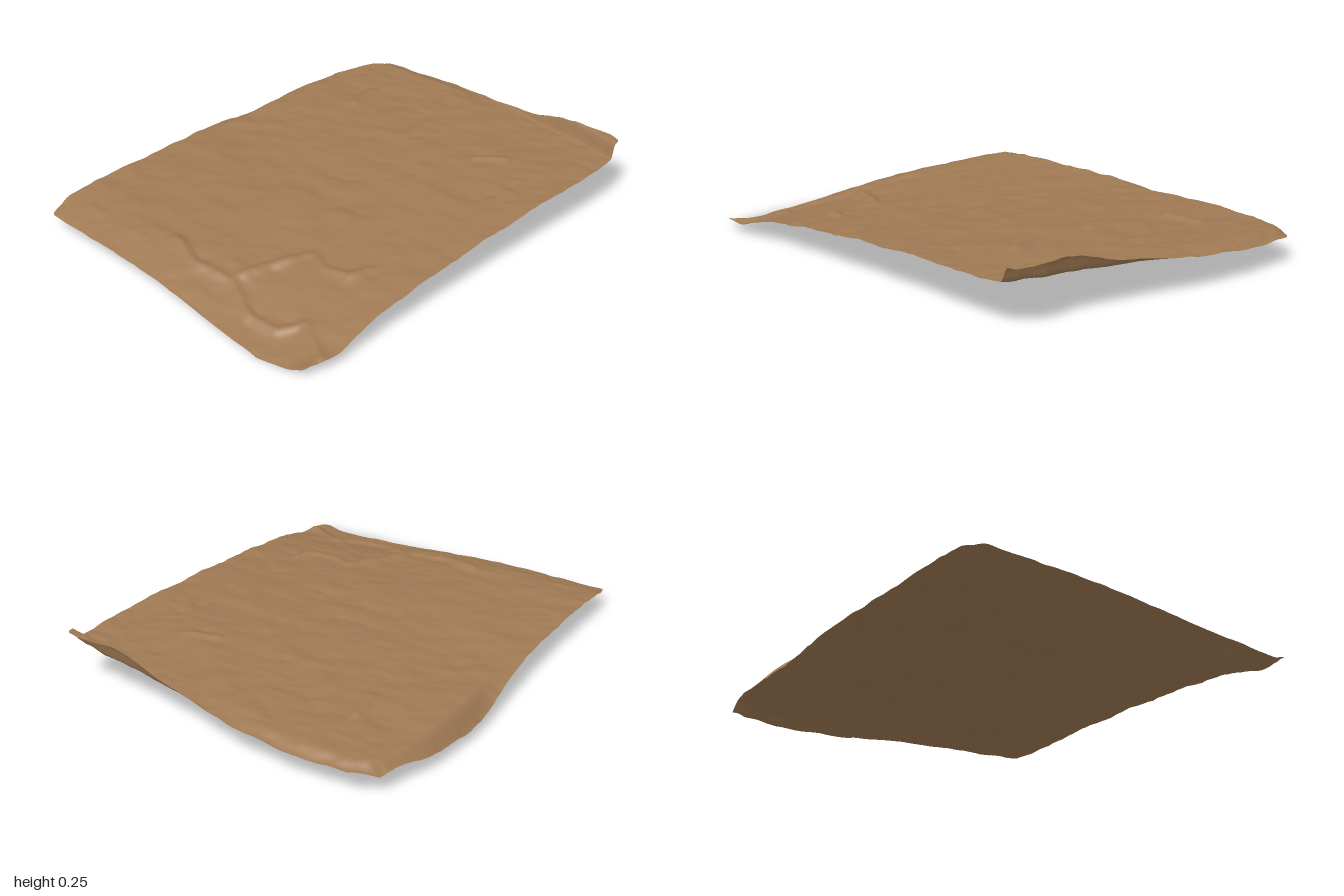
import * as THREE from 'three';

const { smoothstep, lerp, clamp } = THREE.MathUtils;

// Piecewise-linear lookup through [position, value] pairs
function along(points, t) {
  if (t <= points[0][0]) return points[0][1];
  for (let i = 1; i < points.length; i++) {
    const [a, p] = points[i - 1], [b, q] = points[i];
    if (t <= b) return lerp(p, q, (t - a) / (b - a));
  }
  return points[points.length - 1][1];
}

// Smooth repeatable value noise
function hash(i, j) {
  const s = Math.sin(i * 127.1 + j * 311.7) * 43758.5453;
  return s - Math.floor(s);
}
function noise(x, z) {
  const i = Math.floor(x), j = Math.floor(z);
  const u = smoothstep(x - i, 0, 1), v = smoothstep(z - j, 0, 1);
  return lerp(lerp(hash(i, j), hash(i + 1, j), u), lerp(hash(i, j + 1), hash(i + 1, j + 1), u), v) - 0.5;
}

// Outline of the sheet
const leftX = [[-1, -0.71], [-0.9, -0.745], [-0.8, -0.78], [-0.5, -0.8], [-0.3, -0.79], [0, -0.765], [0.2, -0.75], [0.5, -0.74], [0.93, -0.735], [1, -0.71]];
const rightX = [[-1, 0.765], [-0.93, 0.78], [-0.75, 0.79], [-0.4, 0.785], [0, 0.78], [0.6, 0.78], [0.87, 0.79], [0.95, 0.785], [1, 0.76]];
const backZ = [[-0.8, -0.84], [-0.71, -0.91], [-0.62, -0.98], [-0.35, -1], [-0.1, -0.985], [0.1, -0.95], [0.3, -0.92], [0.5, -0.9], [0.7, -0.91], [0.755, -0.895], [0.79, -0.85]];
const frontZ = [[-0.74, 0.93], [-0.7, 0.965], [0, 0.975], [0.55, 1], [0.75, 0.97], [0.79, 0.93]];

// Height along the left and right sides
const leftY = [[-1, 0.125], [-0.4, 0.125], [0, 0.113], [0.4, 0.12], [0.7, 0.115], [0.85, 0.1], [0.97, 0.068]];
const rightY = [[-0.85, 0.193], [-0.4, 0.183], [0, 0.162], [0.4, 0.128], [0.6, 0.1], [0.75, 0.07], [0.85, 0.035], [1, 0.006]];
const droop = [[-0.95, 0.02], [-0.75, 0.045], [-0.6, 0.07], [-0.45, 0.08], [-0.3, 0.075], [-0.18, 0.05], [0, 0.01], [0.15, 0]];
const lipHeight = [[0, 0], [0.1, 0.015], [0.3, 0.042], [0.5, 0.07], [0.8, 0.06]];
const lipCrease = [[0, -0.965], [0.1, -0.935], [0.4, -0.885], [0.6, -0.865], [0.79, -0.82]];

// Wrinkles as polylines in x, z
const wrinkles = [
  [[-0.15, 0.77], [0, 0.82], [0.2, 0.8], [0.38, 0.88], [0.52, 0.87], [0.58, 0.79], [0.76, 0.88]],
  [[0.2, 0.76], [0.26, 0.62], [0.32, 0.49], [0.42, 0.52], [0.54, 0.5], [0.56, 0.42]],
  [[-0.45, -0.66], [-0.42, -0.52]],
  [[0.34, -0.48], [0.44, -0.53]],
];
const dents = [[0, -0.46], [0.01, -0.06], [0.05, -0.02], [0.6, -0.38], [0.67, -0.3], [0.58, -0.28]];

function distanceTo(path, x, z) {
  let best = 9;
  for (let i = 1; i < path.length; i++) {
    const [ax, az] = path[i - 1], dx = path[i][0] - ax, dz = path[i][1] - az;
    const t = clamp(((x - ax) * dx + (z - az) * dz) / (dx * dx + dz * dz), 0, 1);
    best = Math.min(best, Math.hypot(x - ax - t * dx, z - az - t * dz));
  }
  return best;
}

function heightAt(x, z, left, back) {
  // Broad slope, with the front right corner sagging
  const w = lerp((x + 0.74) / 1.52, smoothstep(x, -0.25, 0.6), smoothstep(z, 0.4, 0.85));
  let y = lerp(along(leftY, z), along(rightY, z), w);
  y += 0.025 * smoothstep(x, 0.68, 0.79) * smoothstep(z, 0.8, 0.95);
  // Drooping left and back left edges
  y -= along(droop, z) * (1 - smoothstep(x - left, -0.02, 0.075));
  y -= 0.022 * (1 - smoothstep(z - back, 0, 0.07)) * (1 - smoothstep(x, -0.3, 0.1));
  // Lip turned up along the back right
  y += along(lipHeight, x) * smoothstep(along(lipCrease, x) - z, 0, 0.03);
  // Wrinkles, dents and fine lumps
  for (const path of wrinkles) y += 0.014 * Math.exp(-((distanceTo(path, x, z) / 0.022) ** 2));
  for (const [dx, dz] of dents) y -= 0.01 * Math.exp(-(((x - dx) ** 2 + (z - dz) ** 2) / 0.0004));
  return y + 0.009 * noise(x * 9 + 5, z * 14 + 3) + 0.005 * noise(x * 22, z * 32);
}

export function createModel() {
  const cloth = new THREE.MeshStandardMaterial({ color: 0xa07a54, side: THREE.DoubleSide });
  cloth.name = 'tan';

  // Grid, denser towards its edges, pulled into the outline and draped
  const geometry = new THREE.PlaneGeometry(2, 2, 130, 170).rotateX(-Math.PI / 2);
  const pos = geometry.attributes.position;
  const dense = (t) => 1.4 * t - 0.4 * t ** 3;
  let low = 9;
  for (let i = 0; i < pos.count; i++) {
    const u = dense(pos.getX(i)), v = dense(pos.getZ(i));
    const left = along(leftX, v);
    const x = lerp(left, along(rightX, v), (u + 1) / 2);
    const back = along(backZ, x);
    const z = lerp(back, along(frontZ, x), (v + 1) / 2);
    const y = heightAt(x, z, left, back);
    low = Math.min(low, y);
    pos.setXYZ(i, x, y, z);
  }
  geometry.translate(0, -low, 0);
  geometry.computeVertexNormals();

  const sheet = new THREE.Mesh(geometry, cloth);
  sheet.name = 'crumpledSheet';
  const group = new THREE.Group();
  group.name = 'clothSheet';
  group.add(sheet);
  return group;
}
